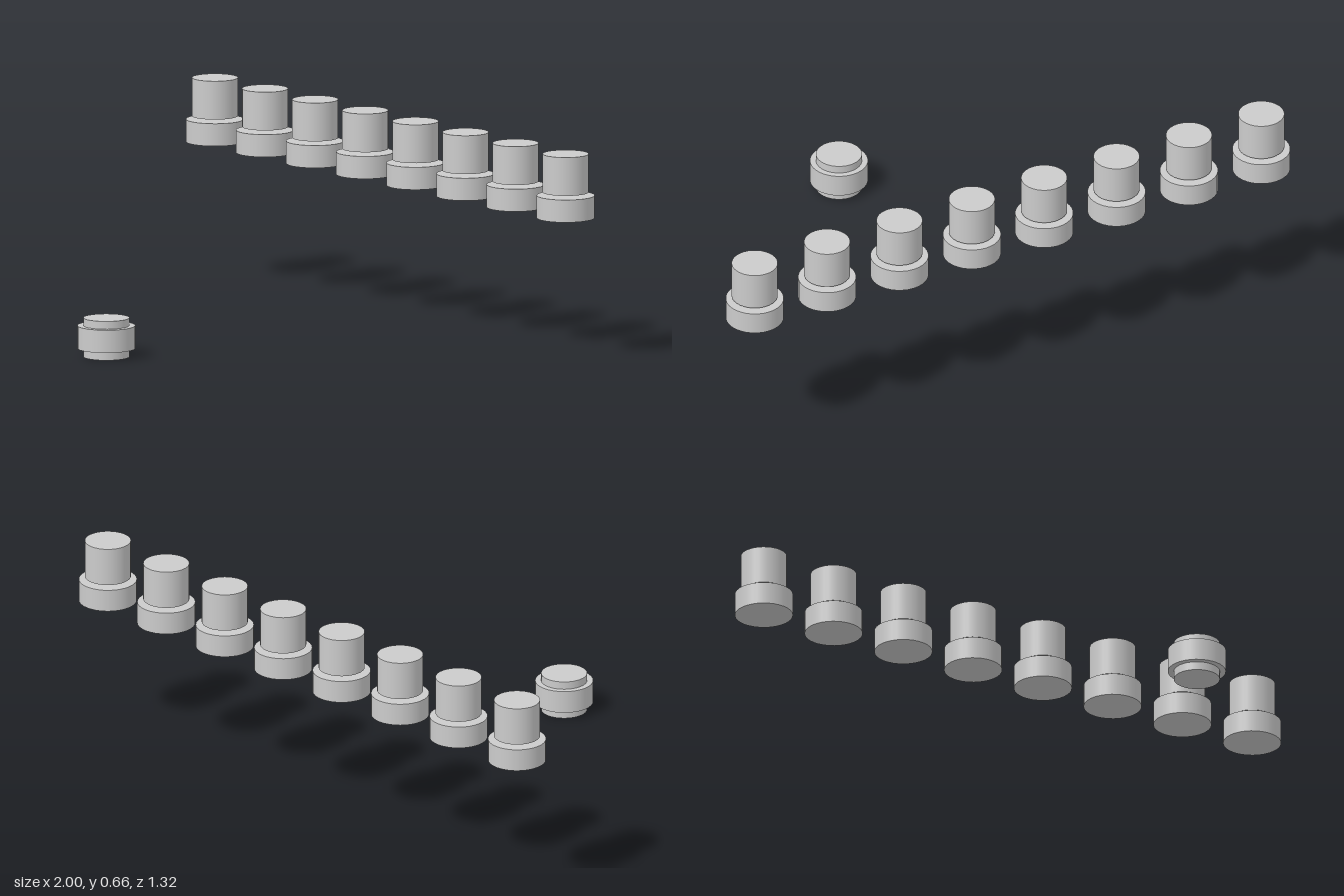
import * as THREE from 'three';

const BASE_R = 0.092, CAP_R = 0.073, ROW_Z = 0.567, COUNT = 8;

export function createModel() {
  const model = new THREE.Group();
  const material = new THREE.MeshStandardMaterial({ color: 0xcccccc });

  // Upright cylinder spanning y0 to y1
  const disc = (name, radius, y0, y1) => {
    const mesh = new THREE.Mesh(new THREE.CylinderGeometry(radius, radius, y1 - y0, 32), material);
    mesh.name = name;
    mesh.position.y = (y0 + y1) / 2;
    return mesh;
  };

  // Raised back row: wide collar with a taller cap floating just above it
  const row = new THREE.Group();
  row.name = 'buttonRow';
  for (let i = 0; i < COUNT; i++) {
    const button = new THREE.Group();
    button.name = `rowButton${i + 1}`;
    button.add(disc('collar', BASE_R, 0.45, 0.522), disc('cap', CAP_R, 0.532, 0.655));
    button.position.x = (1 - BASE_R) * (2 * i / (COUNT - 1) - 1);
    row.add(button);
  }
  row.position.z = -ROW_Z;

  // Single low button at the front: core passing through a wide collar
  const front = new THREE.Group();
  front.name = 'frontButton';
  front.add(disc('collar', BASE_R, 0.027, 0.1), disc('core', CAP_R, 0, 0.125));
  front.position.z = ROW_Z;

  model.add(row, front);
  return model;
}
